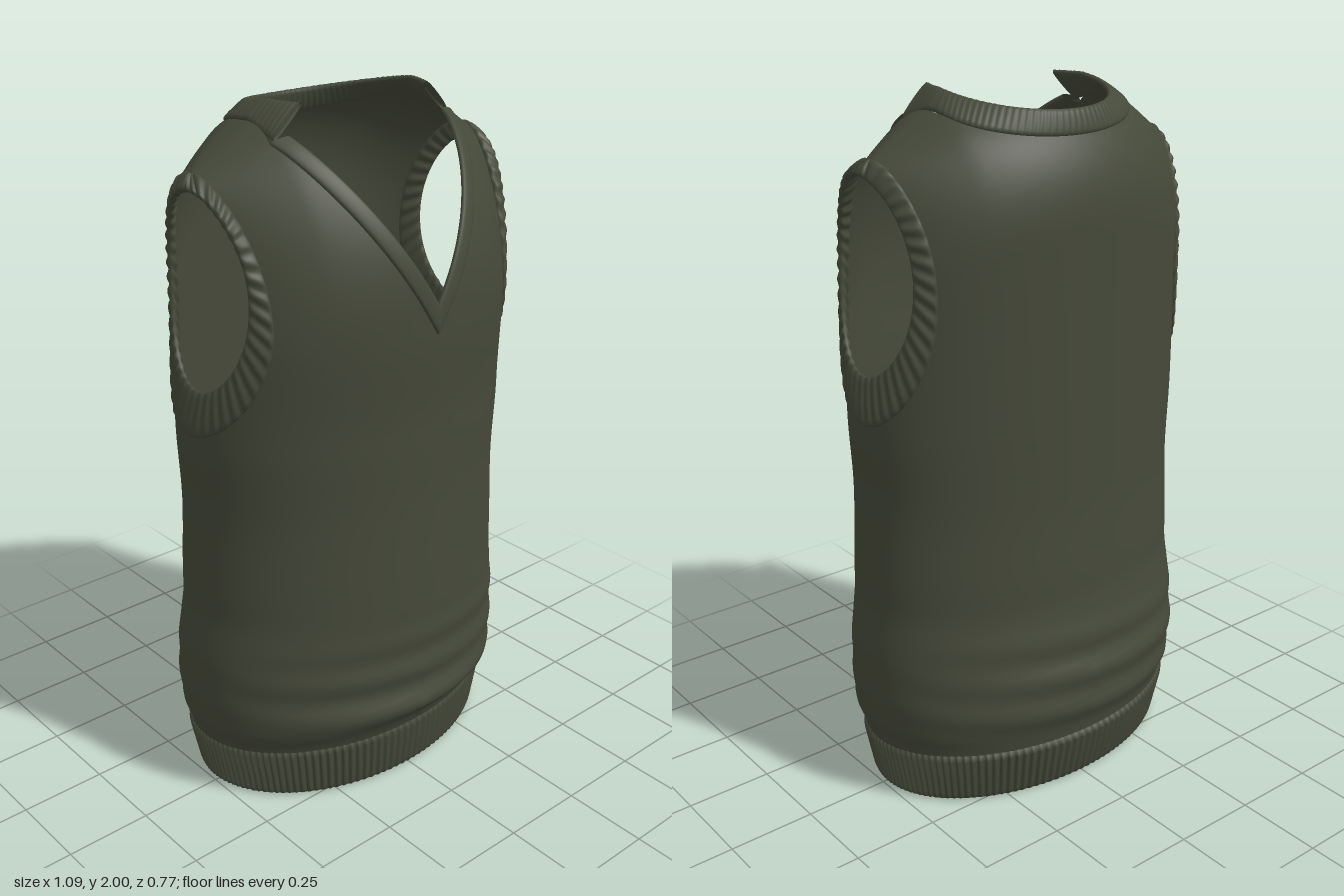
import * as THREE from 'three';
import { mergeGeometries, mergeVertices } from 'three/addons/utils/BufferGeometryUtils.js';

const SEAM = -0.015; // z of the side and shoulder seams
const { lerp, smoothstep } = THREE.MathUtils;

// smooth interpolation through rows of [y, value...]
function sample(table, y, k) {
  let i = 0;
  while (i < table.length - 2 && y > table[i + 1][0]) i++;
  const a = table[i], b = table[i + 1];
  return lerp(a[k], b[k], smoothstep(y, a[0], b[0]));
}

// y, half width, front z, back depth
const BODY = [
  [0.16, 0.515, 0.33, 0.35], [0.25, 0.54, 0.378, 0.372], [0.34, 0.547, 0.368, 0.375],
  [0.43, 0.545, 0.368, 0.362], [0.62, 0.525, 0.367, 0.338], [0.9, 0.515, 0.365, 0.33],
  [1.13, 0.525, 0.37, 0.33], [1.42, 0.525, 0.385, 0.33], [2, 0.525, 0.385, 0.33],
];

// height of the shoulder line at x
function shoulderY(x) {
  const ax = Math.abs(x);
  return ax > 0.3 ? 1.945 - 0.62 * (ax - 0.3) : 2 - 0.055 * (ax / 0.3) ** 2;
}

// point on the knitted surface; face is 1 for front, -1 for back
function onBody(x, y, face) {
  y = Math.min(y, shoulderY(x));
  const a = sample(BODY, y, 1);
  const depth = face > 0 ? sample(BODY, y, 2) - SEAM : sample(BODY, y, 3) + SEAM;
  const section = Math.sqrt(Math.max(0, 1 - (x / a) ** 2));
  const s = Math.max(0, 1 - (shoulderY(x) - y) / (face > 0 ? 0.52 : 0.35));
  const p = face > 0 ? 2 : 2.3;
  const roll = Math.max(0, 1 - s ** p) ** (1 / p);
  // soft folds gathered above the hem
  const gather = smoothstep(y, 0.17, 0.24) * (1 - smoothstep(y, 0.35, 0.6));
  const fold = 0.007 * gather * Math.sin(y * 55 + x * 5 * face);
  return new THREE.Vector3(x, y, SEAM + face * (depth + fold) * section * roll);
}

// armhole edge of the body, phi 0 at the bottom and PI at the shoulder
function armEdge(phi) {
  const c = Math.cos(phi);
  const x = 0.415 + (c > 0 ? 0.11 : 0.06) * c * c;
  return [x, c < -0.9999 ? shoulderY(x) : Math.min(1.495 - 0.355 * c, shoulderY(x))];
}

// neckline edge of each panel, v from 0 to 1
function frontNeck(v) {
  if (v < 0.3) return [0, lerp(1.14, 1.41, v / 0.3)];
  if (v < 0.8) { const w = (v - 0.3) / 0.5; return [0.315 * w, lerp(1.41, 1.905, w)]; }
  const w = 1 - (1 - (v - 0.8) / 0.2) ** 2;
  return [lerp(0.315, 0.3, w), lerp(1.905, 1.945, w)];
}
function backNeck(v) {
  if (v < 0.6) return [0, lerp(1.14, 1.885, v / 0.6)];
  const t = (v - 0.6) / 0.4 * Math.PI / 2;
  return [0.3 * Math.sin(t), 1.945 - 0.06 * Math.cos(t)];
}

// indexed grid of rows of Vector3
function gridGeometry(rows, flip = false) {
  const w = rows[0].length, index = [];
  for (let i = 0; i < rows.length - 1; i++) for (let j = 0; j < w - 1; j++) {
    const a = i * w + j, b = a + 1, c = a + w, d = c + 1;
    if (flip) index.push(a, d, b, a, c, d);
    else index.push(a, b, d, a, d, c);
  }
  const g = new THREE.BufferGeometry().setFromPoints(rows.flat());
  g.setIndex(index);
  return g;
}

function smooth(parts) {
  const g = mergeVertices(mergeGeometries(parts), 1e-4);
  g.computeVertexNormals();
  return g;
}

// one quarter of the body: front or back, left or right
function panel(side, face) {
  const rows = [], low = 44, high = 50, cols = 30;
  for (let i = 0; i <= low + high; i++) {
    let inner, outer;
    if (i < low) {
      const y = lerp(0.16, 1.14, i / low);
      inner = [0, y];
      outer = [sample(BODY, y, 1), y];
    } else {
      const v = (i - low) / high;
      inner = face > 0 ? frontNeck(v) : backNeck(v);
      outer = armEdge(v * Math.PI);
    }
    const row = [];
    for (let j = 0; j <= cols; j++) {
      const u = Math.sin(j / cols * Math.PI / 2);
      row.push(onBody(side * lerp(inner[0], outer[0], u), lerp(inner[1], outer[1], u), face));
    }
    rows.push(row);
  }
  return gridGeometry(rows, side * face < 0);
}

// padded knit band between two edge curves, with cross ribs
function band(edgeA, edgeB, steps, ribs, thick, ribDepth) {
  const rows = [], m = 8;
  for (let i = 0; i <= steps; i++) {
    const t = i / steps, A = edgeA(t), B = edgeB(t);
    const t0 = Math.max(0, t - 0.004), t1 = Math.min(1, t + 0.004);
    const normal = edgeA(t1).add(edgeB(t1)).sub(edgeA(t0)).sub(edgeB(t0))
      .cross(B.clone().sub(A)).normalize();
    const rib = ribDepth * Math.cos(t * ribs * Math.PI * 2);
    const row = [];
    for (let k = 0; k <= 2 * m; k++) {
      const q = k / m * Math.PI;
      const h = Math.sin(q);
      const off = Math.sign(h) * Math.sqrt(Math.abs(h)) * (thick + rib);
      row.push(A.clone().lerp(B, (1 - Math.cos(q)) / 2).addScaledVector(normal, off));
    }
    rows.push(row);
  }
  return smooth([gridGeometry(rows)]);
}

// ribbed hem: outside wall, rolled bottom and inside wall
function hem() {
  // y, half width, front z, back depth, rib strength
  const profile = [
    [0.175, 0.5, 0.32, 0.335, 0], [0.162, 0.517, 0.332, 0.355, 0.4], [0.145, 0.517, 0.333, 0.357, 1],
    [0.08, 0.504, 0.326, 0.342, 1], [0.02, 0.492, 0.318, 0.328, 1], [0.004, 0.488, 0.314, 0.322, 0.5],
    [0, 0.482, 0.308, 0.316, 0], [0.006, 0.476, 0.302, 0.31, 0], [0.17, 0.5, 0.32, 0.335, 0],
  ];
  const ribs = 130, n = ribs * 5;
  const rows = profile.map(([y, a, f, b, r]) => Array.from({ length: n + 1 }, (_, j) => {
    const t = j / n * Math.PI * 2, s = Math.sin(t), c = Math.cos(t);
    const k = 1 + 0.011 * r * Math.cos(t * ribs);
    return new THREE.Vector3(a * k * s, y, SEAM + c * k * (c > 0 ? f - SEAM : b + SEAM));
  }));
  return smooth([gridGeometry(rows, true)]);
}

export function createModel() {
  const knit = new THREE.MeshStandardMaterial({ color: 0x454939, side: THREE.DoubleSide });
  knit.name = 'dark olive knit';
  const group = new THREE.Group();
  group.name = 'sweaterVest';
  const add = (name, geometry) => {
    const mesh = new THREE.Mesh(geometry, knit);
    mesh.name = name;
    group.add(mesh);
  };

  add('body', smooth([panel(1, 1), panel(-1, 1), panel(1, -1), panel(-1, -1)]));
  add('hem', hem());

  for (const side of [1, -1]) {
    const label = side > 0 ? 'left' : 'right';
    const turn = (t) => side * (t * 2 - 1) * Math.PI;
    // armhole ribbing
    add(label + 'ArmholeBand', band(
      (t) => {
        const phi = turn(t), [x, y] = armEdge(Math.abs(phi));
        return onBody(side * x, y, phi >= 0 ? 1 : -1);
      },
      (t) => {
        const phi = turn(t), c = Math.cos(phi);
        return new THREE.Vector3(side * (0.458 + 0.047 * c * c), 1.535 - 0.265 * c, 0.008 + 0.17 * Math.sin(phi));
      }, 264, 44, 0.011, 0.0035));
    // V-neck trim
    const at = (t) => (side > 0 ? t : 1 - t);
    add(label + 'NeckTrim', band(
      (t) => onBody(side * 0.315 * at(t), lerp(1.41, 1.905, at(t)), 1),
      (t) => onBody(side * 0.265 * at(t), lerp(1.495, 1.92, at(t)), 1),
      40, 0, 0.009, 0));
  }

  // standing back collar, ending in front of the shoulder seams
  const angle = (t) => lerp(-2.07, 2.07, t);
  add('backCollar', band(
    (t) => {
      const q = angle(t), c = Math.cos(q);
      if (c >= 0) return onBody(0.3 * Math.sin(q), 1.945 - 0.06 * c, -1);
      return new THREE.Vector3(0.3 * Math.sign(q), 1.945 + 0.07 * c, SEAM - 0.22 * c);
    },
    (t) => {
      const q = angle(t), c = Math.cos(q);
      return new THREE.Vector3(0.243 * Math.sin(q), Math.min(1.996, 1.95 + 0.042 * (1 - c)), SEAM - 0.232 * c);
    }, 240, 60, 0.009, 0.0012));

  return group;
}
